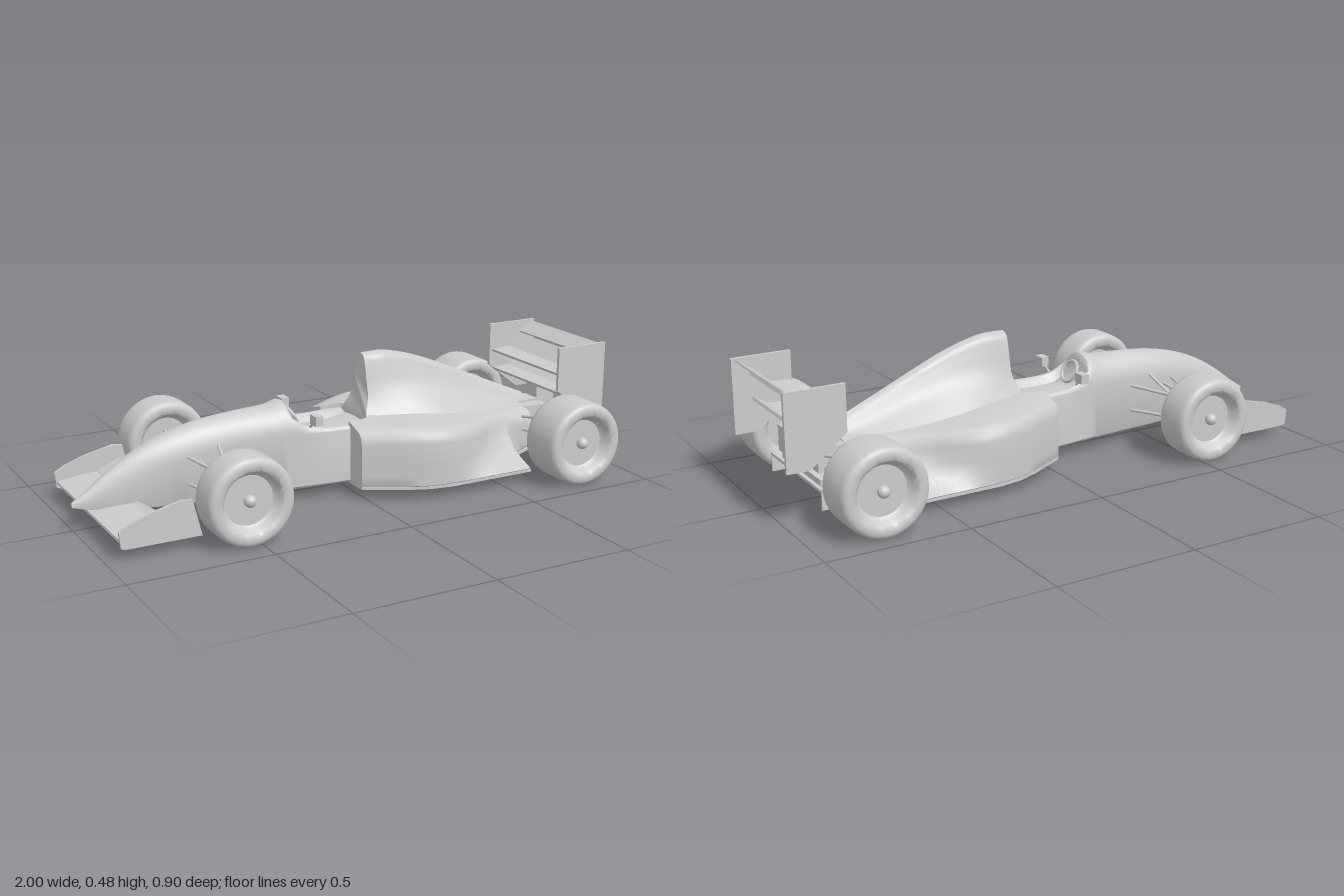
import * as THREE from 'three';
import { toCreasedNormals } from 'three/addons/utils/BufferGeometryUtils.js';

const V = (x, y, z) => new THREE.Vector3(x, y, z);
const mat = new THREE.MeshStandardMaterial({ color: 0xcccccc });

function add(parent, name, geo, x = 0, y = 0, z = 0) {
  const m = new THREE.Mesh(geo, mat);
  m.name = name;
  m.position.set(x, y, z);
  parent.add(m);
  return m;
}

// Skin over closed rings running towards +x, smoothed lengthwise, with capped ends.
function loft(rings, sub = 4) {
  const n = rings[0].length, rows = (rings.length - 1) * sub + 1;
  const curves = rings[0].map((_, j) => new THREE.CatmullRomCurve3(rings.map(r => r[j])));
  const pts = [], idx = [];
  for (let i = 0; i < rows; i++) curves.forEach(c => pts.push(c.getPoint(i / (rows - 1))));
  for (let i = 0; i < rows - 1; i++) {
    for (let j = 0; j < n; j++) {
      const a = i * n + j, b = i * n + (j + 1) % n;
      idx.push(a, b, a + n, b, b + n, a + n);
    }
  }
  const outline = ring => ring.map(p => new THREE.Vector2(p.z, p.y));
  if (!THREE.ShapeUtils.isClockWise(outline(rings[0]))) idx.reverse();
  for (const [ring, o, dir] of [[rings[0], 0, -1], [rings[rings.length - 1], (rows - 1) * n, 1]]) {
    for (const [a, b, c] of THREE.ShapeUtils.triangulateShape(outline(ring), [])) {
      const nx = ring[b].clone().sub(ring[a]).cross(ring[c].clone().sub(ring[a])).x;
      idx.push(a + o, ...(nx * dir > 0 ? [b + o, c + o] : [c + o, b + o]));
    }
  }
  const g = new THREE.BufferGeometry().setFromPoints(pts);
  g.setIndex(idx);
  return toCreasedNormals(g, 0.6);
}

// Half outline [z, y] from bottom middle to top middle, mirrored into a full ring at x.
const mirrorRing = (x, half) =>
  [...half, ...half.slice(1, -1).reverse().map(([z, y]) => [-z, y])].map(([z, y]) => V(x, y, z));

const shapeOf = pts => new THREE.Shape(pts.map(p => new THREE.Vector2(...p)));

// Side-view outline [x, y] extruded across the car, centred on z = 0.
const slab = (pts, depth) =>
  new THREE.ExtrudeGeometry(shapeOf(pts), { depth, bevelEnabled: false }).translate(0, 0, -depth / 2);

// Bent plate of thickness t below a side-view line.
const plate = (pts, t, span) => slab([...pts.map(([x, y]) => [x + t * 0.4, y - t]), ...[...pts].reverse()], span);

// Plan outline [x, z] with a thickness, from height y upwards; slope lifts it along x from x0.
function plan(pts, y, thick, slope = 0, x0 = 0) {
  const g = new THREE.ExtrudeGeometry(shapeOf(pts.map(([x, z]) => [x, -z])), { depth: thick, bevelEnabled: false });
  g.rotateX(-Math.PI / 2).translate(0, y, 0);
  const p = g.attributes.position;
  for (let i = 0; i < p.count; i++) p.setY(i, p.getY(i) + (p.getX(i) - x0) * slope);
  g.computeVertexNormals();
  return g;
}

function rod(parent, name, a, b, r = 0.006) {
  const m = add(parent, name, new THREE.CylinderGeometry(r, r, a.distanceTo(b), 8));
  m.position.copy(a).add(b).multiplyScalar(0.5);
  m.quaternion.setFromUnitVectors(V(0, 1, 0), b.clone().sub(a).normalize());
}

function wheel(parent, name, x, z, width) {
  const g = new THREE.Group(), w = width / 2;
  g.name = name;
  const half = [[0.001, w - 0.04], [0.085, w - 0.04], [0.098, w - 0.028], [0.104, w - 0.006], [0.112, w],
    [0.134, w - 0.001], [0.144, w - 0.006], [0.149, w - 0.016], [0.151, w - 0.03]];
  const pts = [...half.map(([r, h]) => [r, -h]), ...half.reverse()].map(p => new THREE.Vector2(...p));
  add(g, 'tyreAndRim', toCreasedNormals(new THREE.LatheGeometry(pts, 56).rotateX(Math.PI / 2), 0.7));
  add(g, 'hub', new THREE.SphereGeometry(0.021, 16, 12), 0, 0, Math.sign(z) * (w - 0.03));
  g.position.set(x, 0.153, z);
  parent.add(g);
}

export function createModel() {
  const car = new THREE.Group();
  car.name = 'racingCar';

  // Nose and cockpit tub: x, half width, bottom, shoulder, top, cockpit depth
  const tub = [[-1, 0.008, 0.085, 0.09, 0.1, 0], [-0.95, 0.021, 0.075, 0.095, 0.133, 0], [-0.88, 0.034, 0.066, 0.11, 0.185, 0],
    [-0.8, 0.046, 0.06, 0.14, 0.235, 0], [-0.7, 0.06, 0.054, 0.18, 0.28, 0], [-0.6, 0.07, 0.05, 0.21, 0.308, 0],
    [-0.5, 0.076, 0.047, 0.225, 0.324, 0], [-0.38, 0.079, 0.045, 0.235, 0.333, 0], [-0.29, 0.087, 0.045, 0.24, 0.338, 0],
    [-0.235, 0.094, 0.045, 0.24, 0.348, 0], [-0.215, 0.097, 0.045, 0.24, 0.342, 0.05], [-0.175, 0.102, 0.045, 0.24, 0.296, 0.05],
    [-0.13, 0.108, 0.045, 0.24, 0.275, 0.04], [-0.02, 0.118, 0.045, 0.24, 0.267, 0.035], [0.06, 0.122, 0.045, 0.24, 0.267, 0.02],
    [0.11, 0.122, 0.045, 0.24, 0.268, 0]];
  add(car, 'noseAndTub', loft(tub.map(([x, w, b, s, t, d]) => {
    const half = [[0, b], [w * 0.6, b], [w * 0.94, b], [w, b + 0.008]];
    for (let i = 0; i <= 10; i++) {
      const a = i / 10 * Math.PI / 2, z = w * Math.cos(a);
      const dip = THREE.MathUtils.smoothstep(0.9 - z / w, 0, 0.35) * d;
      half.push([i === 10 ? 0 : z, s + (t - s) * Math.sin(a) - dip]);
    }
    return mirrorRing(x, half);
  })));

  // Engine cover with airbox: x, top, spine half width, base half width, base height
  const cover = [[0.085, 0.478, 0.033, 0.095, 0.25], [0.17, 0.478, 0.036, 0.125, 0.25], [0.3, 0.446, 0.034, 0.155, 0.25],
    [0.45, 0.386, 0.03, 0.155, 0.228], [0.6, 0.32, 0.025, 0.13, 0.2], [0.72, 0.268, 0.02, 0.1, 0.18], [0.79, 0.238, 0.015, 0.06, 0.17]];
  add(car, 'engineCover', loft(cover.map(([x, t, w, B, y], k) => {
    const H = t - y;
    const curve = new THREE.SplineCurve([[B, y], [B * 0.74, y + H * 0.2], [w * 0.95 + B * 0.2, y + H * 0.48],
      [w * 1.08, y + H * 0.78], [w * 0.7, t - 0.012], [0, t]].map(p => new THREE.Vector2(...p)));
    const ring = mirrorRing(x, [[0, y - 0.05], [B, y - 0.05], ...curve.getPoints(20).map(p => [p.x, p.y])]);
    if (k === 0) ring.forEach(p => { p.x -= 0.025 * THREE.MathUtils.smoothstep(0.34 - p.y, 0, 0.09); });
    return ring;
  })));

  // Sidepods: x, upper half width, top, half width at the floor
  const pods = [[-0.02, 0.2, 0.25, 0.2], [0.05, 0.237, 0.255, 0.237], [0.12, 0.274, 0.256, 0.274], [0.2, 0.306, 0.255, 0.306],
    [0.28, 0.318, 0.252, 0.318], [0.35, 0.306, 0.245, 0.32], [0.42, 0.27, 0.237, 0.32], [0.5, 0.215, 0.228, 0.32],
    [0.58, 0.17, 0.22, 0.32], [0.615, 0.158, 0.217, 0.315], [0.63, 0.154, 0.215, 0.19], [0.68, 0.148, 0.212, 0.148], [0.74, 0.143, 0.207, 0.143]];
  for (const s of [1, -1]) {
    add(car, 'sidepod', loft(pods.map(([x, W, p, F]) => {
      const inner = x < 0.1 ? 0.105 : 0.03, top = W - 0.045, low = 0.045 + Math.max(0, x - 0.66) * 0.32;
      return [[inner, low], [F - 0.006, low], [F, low + 0.008], [W + (F - W) * 0.4, 0.09], [W + (F - W) * 0.12, 0.135], [W, p - 0.05],
        [W - 0.005, p - 0.026], [W - 0.02, p - 0.008], [top, p], [inner + (top - inner) * 0.4, p + 0.01], [inner, p + 0.014]]
        .map(([z, y]) => V(x, y, s * z));
    })));
  }

  // Flat floor and rising diffuser
  const both = half => [...half, ...half.map(([x, z]) => [x, -z]).reverse()];
  add(car, 'floor', plan(both([[-0.02, 0.2], [0.05, 0.237], [0.12, 0.275], [0.2, 0.307], [0.28, 0.32], [0.615, 0.32],
    [0.62, 0.2], [0.65, 0.158], [0.68, 0.146]]), 0.04, 0.01));
  add(car, 'diffuser', plan(both([[0.68, 0.146], [0.72, 0.145], [0.76, 0.155], [0.8, 0.185], [0.83, 0.212], [0.88, 0.212]]), 0.04, 0.01, 0.3, 0.68));
  for (const z of [-0.209, 0.209]) add(car, 'diffuserSide', slab([[0.82, 0.042], [0.88, 0.042], [0.88, 0.105], [0.82, 0.088]], 0.006), 0, 0, z);

  // Gearbox and rear wing mount
  add(car, 'gearbox', new THREE.BoxGeometry(0.14, 0.1, 0.08), 0.8, 0.165, 0);
  add(car, 'crashBox', new THREE.BoxGeometry(0.12, 0.025, 0.32), 0.8, 0.112, 0);
  add(car, 'wingMount', new THREE.BoxGeometry(0.08, 0.09, 0.066), 0.88, 0.225, 0);
  for (const z of [-0.074, 0.074]) add(car, 'gearboxSide', new THREE.BoxGeometry(0.1, 0.085, 0.05), 0.79, 0.167, z);

  // Rear wing
  const span = 0.445;
  add(car, 'rearMainPlane', plate([[0.8, 0.357], [0.88, 0.36], [0.935, 0.405]], 0.01, span));
  add(car, 'rearFlap', plate([[0.93, 0.416], [0.985, 0.452]], 0.006, span));
  add(car, 'rearLowerPlane', plate([[0.81, 0.282], [0.88, 0.286], [0.93, 0.315]], 0.01, span));
  for (const s of [1, -1]) {
    add(car, 'rearEndplate', slab([[0.79, 0.457], [0.79, 0.295], [0.92, 0.192], [1, 0.192], [1, 0.457]], 0.012), 0, 0, s * 0.222);
  }

  // Front wing
  add(car, 'frontMainPlane', slab([[-0.95, 0.06], [-0.87, 0.056], [-0.785, 0.075], [-0.785, 0.083], [-0.87, 0.078], [-0.948, 0.068]], 0.64));
  for (const s of [1, -1]) {
    add(car, 'frontFlap', plan([[-0.79, s * 0.05], [-0.775, s * 0.18], [-0.713, s * 0.215], [-0.713, s * 0.32], [-0.8, s * 0.32], [-0.81, s * 0.05]], 0.082, 0.006, 0.45, -0.79));
    add(car, 'frontEndplate', slab([[-0.955, 0.1], [-0.95, 0.045], [-0.935, 0.04], [-0.675, 0.04], [-0.692, 0.11], [-0.705, 0.165],
      [-0.74, 0.17], [-0.85, 0.145], [-0.92, 0.12]], 0.01), 0, 0, s * 0.322);
  }

  // Wheels and suspension on both sides
  for (const s of [1, -1]) {
    wheel(car, 'frontWheel', -0.537, s * 0.355, 0.138);
    wheel(car, 'rearWheel', 0.762, s * 0.364, 0.173);
    for (const [y, yo] of [[0.12, 0.12], [0.215, 0.195]]) {
      for (const x of [-0.61, -0.41]) rod(car, 'frontWishbone', V(x, y, s * 0.06), V(-0.545, yo, s * 0.31));
    }
    rod(car, 'frontPushrod', V(-0.5, 0.25, s * 0.06), V(-0.54, 0.13, s * 0.3));
    rod(car, 'frontSteeringArm', V(-0.57, 0.2, s * 0.06), V(-0.57, 0.17, s * 0.31));
    for (const [y, yo] of [[0.14, 0.14], [0.18, 0.215]]) {
      for (const x of [0.68, 0.82]) rod(car, 'rearWishbone', V(x, y, s * 0.08), V(0.765, yo, s * 0.32));
    }
    rod(car, 'rearDriveshaft', V(0.765, 0.16, s * 0.06), V(0.765, 0.155, s * 0.32), 0.009);
    // Mirrors
    add(car, 'mirror', new THREE.BoxGeometry(0.03, 0.034, 0.044), -0.16, 0.298, s * 0.132);
    rod(car, 'mirrorStalk', V(-0.165, 0.262, s * 0.09), V(-0.16, 0.292, s * 0.125), 0.004);
  }

  // Steering wheel, leaning back under the cockpit lip
  const steering = new THREE.Group();
  steering.name = 'steeringWheel';
  add(steering, 'rim', new THREE.TorusGeometry(0.04, 0.006, 8, 28).rotateY(Math.PI / 2));
  add(steering, 'spoke', new THREE.BoxGeometry(0.008, 0.014, 0.078));
  rod(steering, 'column', V(-0.06, 0, 0), V(0, 0, 0));
  steering.position.set(-0.195, 0.285, 0);
  steering.rotation.z = 0.5;
  car.add(steering);
  return car;
}
